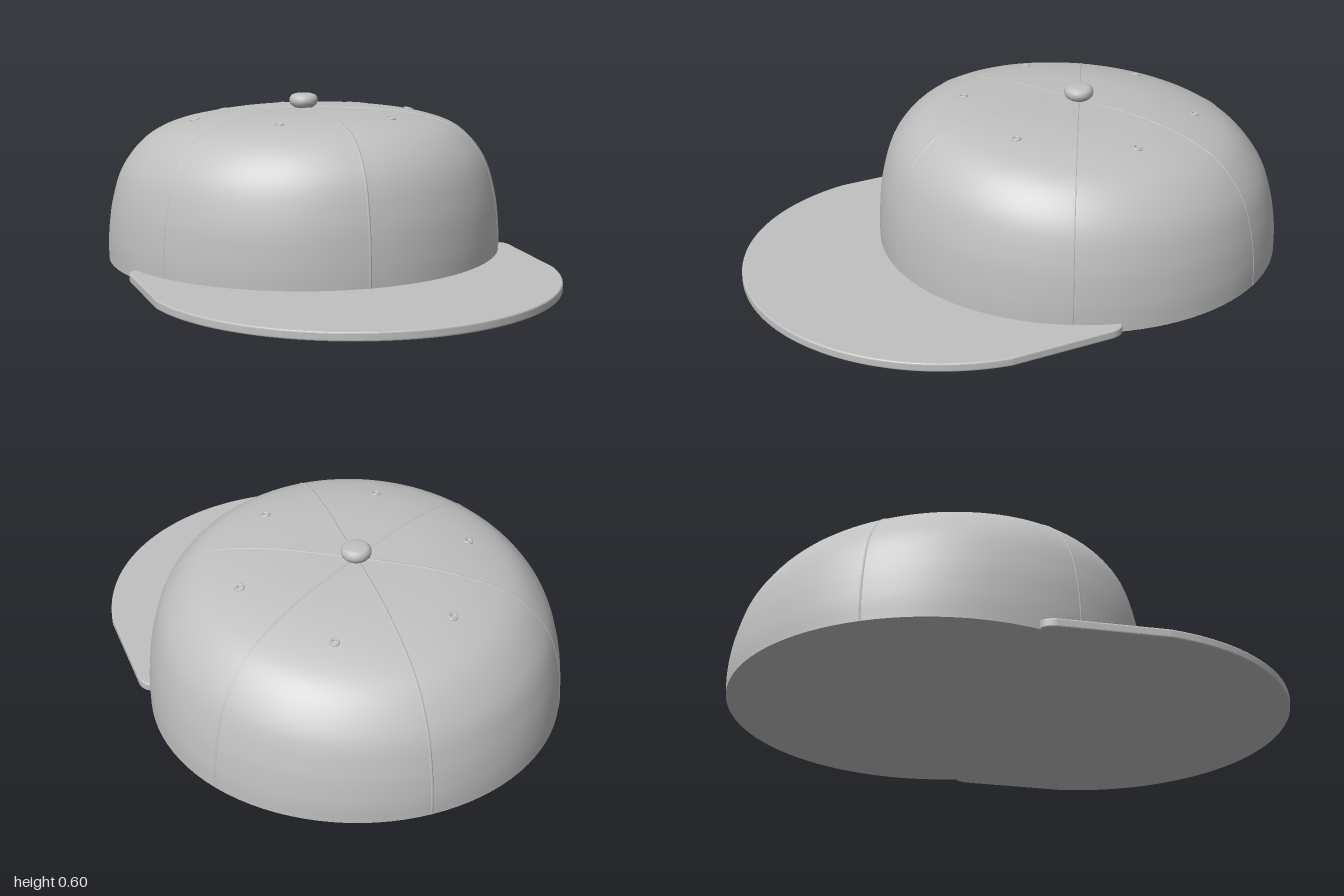
import * as THREE from 'three';

const CROWN_Z = -0.27;
const RADIUS = 0.73;

// Crown section curves (radius, height) at the front and at the back
const toCurve = (pts) => new THREE.SplineCurve(pts.map(([r, y]) => new THREE.Vector2(r, y)));
const frontCurve = toCurve([[0.73, 0], [0.73, 0.12], [0.715, 0.267], [0.67, 0.41], [0.58, 0.51],
  [0.46, 0.55], [0.3, 0.563], [0.15, 0.56], [0, 0.552]]);
const backCurve = toCurve([[0.73, 0], [0.728, 0.08], [0.71, 0.19], [0.67, 0.305], [0.58, 0.417],
  [0.46, 0.482], [0.3, 0.526], [0.15, 0.544], [0, 0.552]]);

// Point on the crown: phi turns from the front, t climbs from hem to top
function crownPoint(phi, t) {
  const p = backCurve.getPoint(t).lerp(frontCurve.getPoint(t), (1 + Math.cos(phi)) / 2);
  return new THREE.Vector3(p.x * Math.sin(phi), p.y, p.x * Math.cos(phi));
}

function crownNormal(phi, t) {
  const e = 0.004;
  const around = crownPoint(phi + e, t).sub(crownPoint(phi - e, t));
  const up = crownPoint(phi, Math.min(t + e, 1)).sub(crownPoint(phi, Math.max(t - e, 0)));
  return around.cross(up).normalize();
}

function crownGeometry() {
  const rows = 48, segments = 96;
  const profile = Array.from({ length: rows + 1 }, (_, j) => frontCurve.getPoint(j / rows));
  const geo = new THREE.LatheGeometry(profile, segments);
  const pos = geo.attributes.position;
  for (let i = 0; i <= segments; i++) {
    for (let j = 0; j <= rows; j++) {
      const p = crownPoint((i / segments) * Math.PI * 2, j / rows);
      pos.setXYZ(i * (rows + 1) + j, p.x, p.y, p.z);
    }
  }
  geo.computeVertexNormals();
  return geo;
}

// Flat visor outline, drawn with shape y pointing forward
function brimGeometry() {
  const bevel = 0.006, half = RADIUS - bevel;
  const arcZ = 0.262, arcR = 0.738 - bevel;
  const a = Math.acos(half / arcR);
  const s = new THREE.Shape();
  s.moveTo(-0.68, -0.054);
  s.lineTo(0.7, -0.054);
  s.quadraticCurveTo(0.72, -0.045, half, -0.01);
  s.lineTo(half, arcZ + arcR * Math.sin(a));
  s.absarc(0, arcZ, arcR, a, Math.PI - a, false);
  s.lineTo(-half, -0.01);
  s.quadraticCurveTo(-0.72, -0.045, -0.7, -0.054);
  const geo = new THREE.ExtrudeGeometry(s, {
    depth: 0.032 - 2 * bevel, bevelEnabled: true, bevelSize: bevel,
    bevelThickness: bevel, bevelSegments: 3, curveSegments: 64,
  });
  return geo.rotateX(Math.PI / 2).translate(0, 0.032 - bevel, 0);
}

export function createModel() {
  const model = new THREE.Group();
  model.name = 'cap';
  const fabric = new THREE.MeshStandardMaterial({ color: 0xc0c0c0 });
  fabric.name = 'grey fabric';

  const add = (parent, name, geometry) => {
    const mesh = new THREE.Mesh(geometry, fabric);
    mesh.name = name;
    parent.add(mesh);
    return mesh;
  };

  const crown = new THREE.Group();
  crown.name = 'crown';
  crown.position.z = CROWN_Z;
  model.add(crown);

  add(crown, 'crownShell', crownGeometry());
  add(crown, 'crownBase', new THREE.CircleGeometry(RADIUS, 96).rotateX(Math.PI / 2));

  for (let i = 0; i < 6; i++) {
    // Raised seam between two panels
    const phi = (i * Math.PI) / 3;
    const path = Array.from({ length: 25 }, (_, j) => {
      const t = 0.004 + (j / 24) * 0.976;
      return crownPoint(phi, t).addScaledVector(crownNormal(phi, t), -0.004);
    });
    add(crown, 'seam', new THREE.TubeGeometry(new THREE.CatmullRomCurve3(path), 60, 0.006, 8));

    // Stitched eyelet in the middle of each panel
    const mid = phi + Math.PI / 6, t = 0.66;
    const eyelet = add(crown, 'eyelet', new THREE.TorusGeometry(0.013, 0.005, 8, 20));
    eyelet.position.copy(crownPoint(mid, t));
    eyelet.quaternion.setFromUnitVectors(new THREE.Vector3(0, 0, 1), crownNormal(mid, t));
  }

  // Rounded button on top
  const buttonProfile = [[0, 0.545], [0.03, 0.55], [0.042, 0.558], [0.05, 0.567], [0.053, 0.578],
    [0.051, 0.59], [0.044, 0.598], [0.034, 0.602], [0, 0.603]].map(([r, y]) => new THREE.Vector2(r, y));
  add(crown, 'button', new THREE.LatheGeometry(buttonProfile, 32));

  add(model, 'brim', brimGeometry());
  return model;
}
